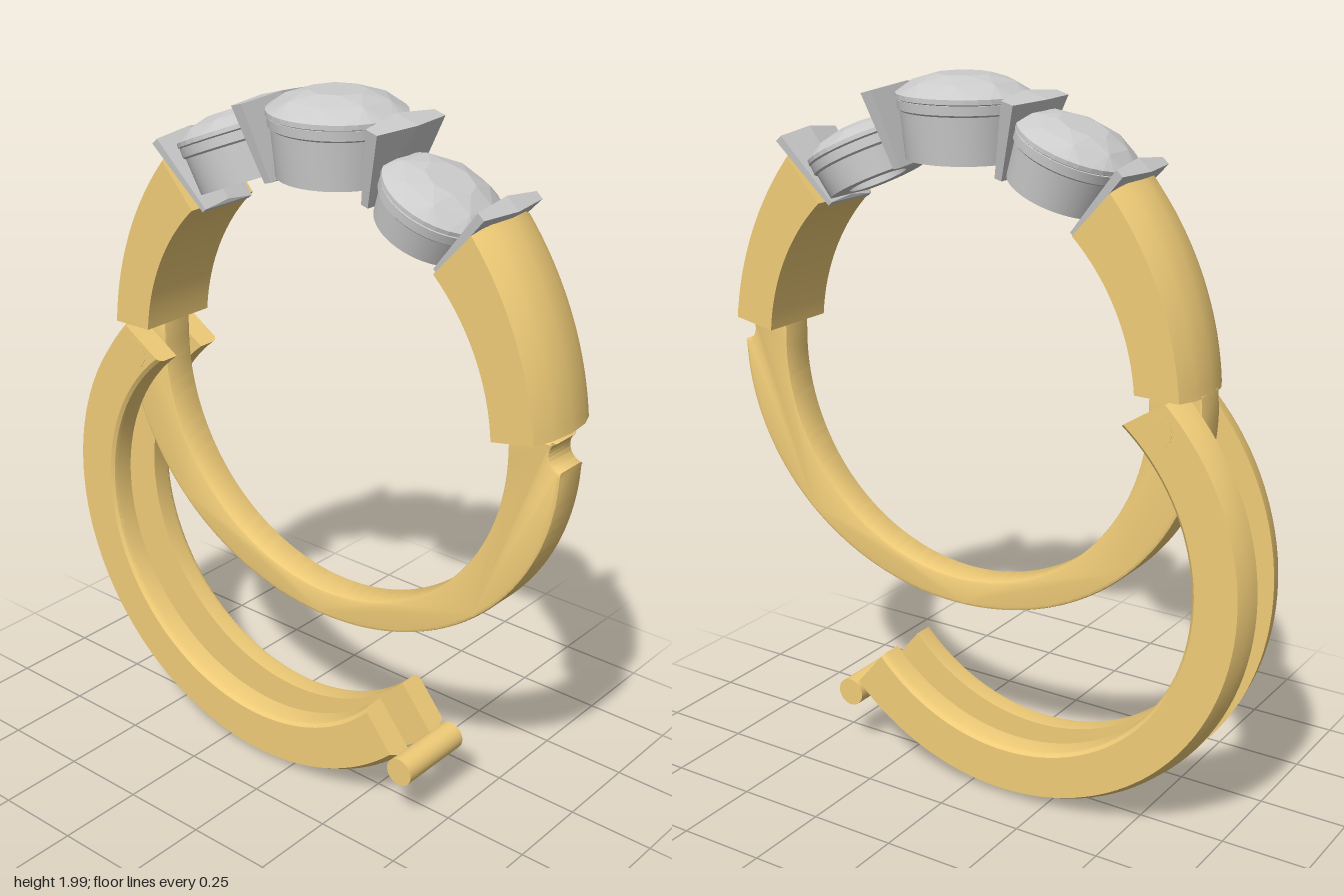
import * as THREE from 'three';
import { toCreasedNormals } from 'three/addons/utils/BufferGeometryUtils.js';
import { ConvexGeometry } from 'three/addons/geometries/ConvexGeometry.js';

const gold = new THREE.MeshStandardMaterial({ color: 0xf0cc78 });
const grey = new THREE.MeshStandardMaterial({ color: 0xcccccc });
const rad = THREE.MathUtils.degToRad;
const lerp = THREE.MathUtils.lerp;
const CX = 0.078, CY = 1.198, R = 0.588; // finger hole

function mesh(name, geometry, material) {
  const m = new THREE.Mesh(geometry, material);
  m.name = name;
  return m;
}

// Sweep a convex (u, z) section along an arc; u runs from the inner to the outer curve.
// inner(t) and outer(t) give [angle in degrees, radius], angle increasing with t.
function sweep(section, cx, cy, inner, outer, steps) {
  const pos = [], idx = [], n = section.length;
  const at = ([a, r]) => [cx + r * Math.cos(rad(a)), cy + r * Math.sin(rad(a))];
  for (let s = 0; s <= steps; s++) {
    const a = at(inner(s / steps)), b = at(outer(s / steps));
    for (const [u, z] of section) pos.push(lerp(a[0], b[0], u), lerp(a[1], b[1], u), z);
  }
  for (let s = 0; s < steps; s++) {
    for (let i = 0; i < n; i++) {
      const a = s * n + i, b = s * n + (i + 1) % n;
      idx.push(a, a + n, b + n, a, b + n, b);
    }
  }
  const e = steps * n;
  for (let i = 1; i < n - 1; i++) idx.push(0, i, i + 1, e, e + i + 1, e + i);
  const g = new THREE.BufferGeometry();
  g.setAttribute('position', new THREE.Float32BufferAttribute(pos, 3));
  g.setIndex(idx);
  return toCreasedNormals(g, 0.6);
}

// Narrow lower shank, with a bite for the latch pin on its left top
function shank() {
  const s = new THREE.Shape();
  s.moveTo(-0.51, 1.262);
  s.lineTo(-0.66, 1.262);
  s.absellipse(CX, CY, 0.742, 0.668, Math.PI, Math.PI * 2, false);
  s.absarc(0.825, 1.236, 0.04, rad(260), rad(130), true);
  s.lineTo(0.665, 1.262);
  s.absarc(CX, CY, R, 0, -Math.PI, true);
  const g = new THREE.ExtrudeGeometry(s, {
    depth: 0.084, bevelThickness: 0.008, bevelSize: 0.008, bevelOffset: -0.008, bevelSegments: 2, curveSegments: 64,
  });
  g.translate(0, 0, -0.042);
  return mesh('lowerShank', toCreasedNormals(g, 0.6), gold);
}

// Wide crowned shoulders either side of the setting
function shoulder(name, flip) {
  const section = [[0, -0.12], [0.8, -0.12], [0.94, -0.07], [1, 0], [0.94, 0.07], [0.8, 0.12], [0, 0.12]];
  const ang = (t, low) => (flip ? lerp(132, 180 - low, t) : lerp(low, 48, t));
  const k = (t) => (flip ? 1 - t : t);
  const inner = (t) => [ang(t, 6), R + 0.008 * k(t)];
  const outer = (t) => [ang(t, flip ? 4.5 : 7), 0.744 + 0.048 * k(t) ** 2];
  return mesh(name, sweep(section, CX, CY, inner, outer, 24), gold);
}

// One rail of the swung-open arm
function rail(name, side) {
  let section = [[0, 0.05], [1, 0.05], [0.96, 0.09], [0.86, 0.12], [0.08, 0.12], [0.02, 0.112], [0, 0.1]];
  if (side < 0) section = section.map(([u, z]) => [u, -z]).reverse();
  const inner = (t) => [lerp(131, 314, t), 0.56 + 0.029 * Math.sin(Math.PI * t)];
  const outer = (t) => [lerp(135, 313, t), 0.728 + 0.012 * Math.sin(Math.PI * t)];
  return mesh(name, sweep(section, -0.1, 0.748, inner, outer, 64), gold);
}

function pin(name, x, y, r, length) {
  const m = mesh(name, new THREE.CylinderGeometry(r, r, length, 32), gold);
  m.rotation.x = Math.PI / 2;
  m.position.set(x, y, 0);
  return m;
}

// Faceted gem, girdle at y = 0
function gem(r) {
  const pts = [new THREE.Vector3(0, -0.6 * r, 0)];
  const ring = (n, radius, y, turn) => {
    for (let i = 0; i < n; i++) {
      const a = ((i + turn) / n) * Math.PI * 2;
      pts.push(new THREE.Vector3(radius * Math.cos(a), y, radius * Math.sin(a)));
    }
  };
  ring(8, 0.42 * r, 0.27 * r, 0);
  ring(8, 0.76 * r, 0.17 * r, 0.5);
  ring(32, r, 0, 0);
  ring(32, r, -0.07 * r, 0);
  return mesh('gem', new ConvexGeometry(pts), grey);
}

// Gem in a tapered cup with an open base
function setting(name, x, y, tilt, r, depth) {
  const g = new THREE.Group();
  g.name = name;
  const profile = [
    [0.52, -depth], [0.86, -depth], [0.93, -0.045], [0.97, -0.04], [0.98, -0.016],
    [0.92, -0.014], [0.88, -0.05], [0.52, -depth + 0.03], [0.52, -depth],
  ].map(([u, v]) => new THREE.Vector2(u * r, v));
  const cup = mesh('cup', toCreasedNormals(new THREE.LatheGeometry(profile, 48), 0.5), grey);
  g.add(gem(r), cup);
  g.position.set(x, y, 0);
  g.rotation.z = rad(tilt);
  return g;
}

// Radial divider plate, lens-shaped in section and wider at the top
function divider(name, angle, r0, r1, thick, w0, w1) {
  const pts = [];
  for (const [r, w, t] of [[r0, w0, thick * 0.6], [r1, w1, thick]]) {
    for (const s of [-1, 1]) {
      pts.push(new THREE.Vector3(s * t, r, 0));
      for (const q of [-1, 1]) pts.push(new THREE.Vector3(s * t * 0.5, r - 0.008, q * w));
    }
  }
  const m = mesh(name, new ConvexGeometry(pts), grey);
  m.position.set(CX, CY, 0);
  m.rotation.z = rad(angle - 90);
  return m;
}

export function createModel() {
  const root = new THREE.Group();
  root.name = 'hingedRing';

  root.add(shank(), shoulder('leftShoulder', false), shoulder('rightShoulder', true));

  const arm = new THREE.Group();
  arm.name = 'swungArm';
  arm.add(rail('frontRail', 1), rail('backRail', -1));
  arm.add(pin('latchPin', 0.413, 0.19, 0.041, 0.24), pin('hingePin', -0.57, 1.175, 0.045, 0.242));
  root.add(arm);

  root.add(
    setting('centreStone', 0.078, 1.955, 0, 0.18, 0.17),
    setting('rightStone', -0.265, 1.855, 22, 0.164, 0.145),
    setting('leftStone', 0.413, 1.802, -26, 0.16, 0.115),
  );

  for (const s of [-1, 1]) {
    const side = s > 0 ? 'left' : 'right';
    root.add(divider(side + 'InnerDivider', 90 - s * 16, 0.585, 0.795, 0.036, 0.085, 0.135));
    root.add(divider(side + 'EndDivider', 90 - s * 41, 0.59, 0.815, 0.024, 0.09, 0.12));
  }
  return root;
}
